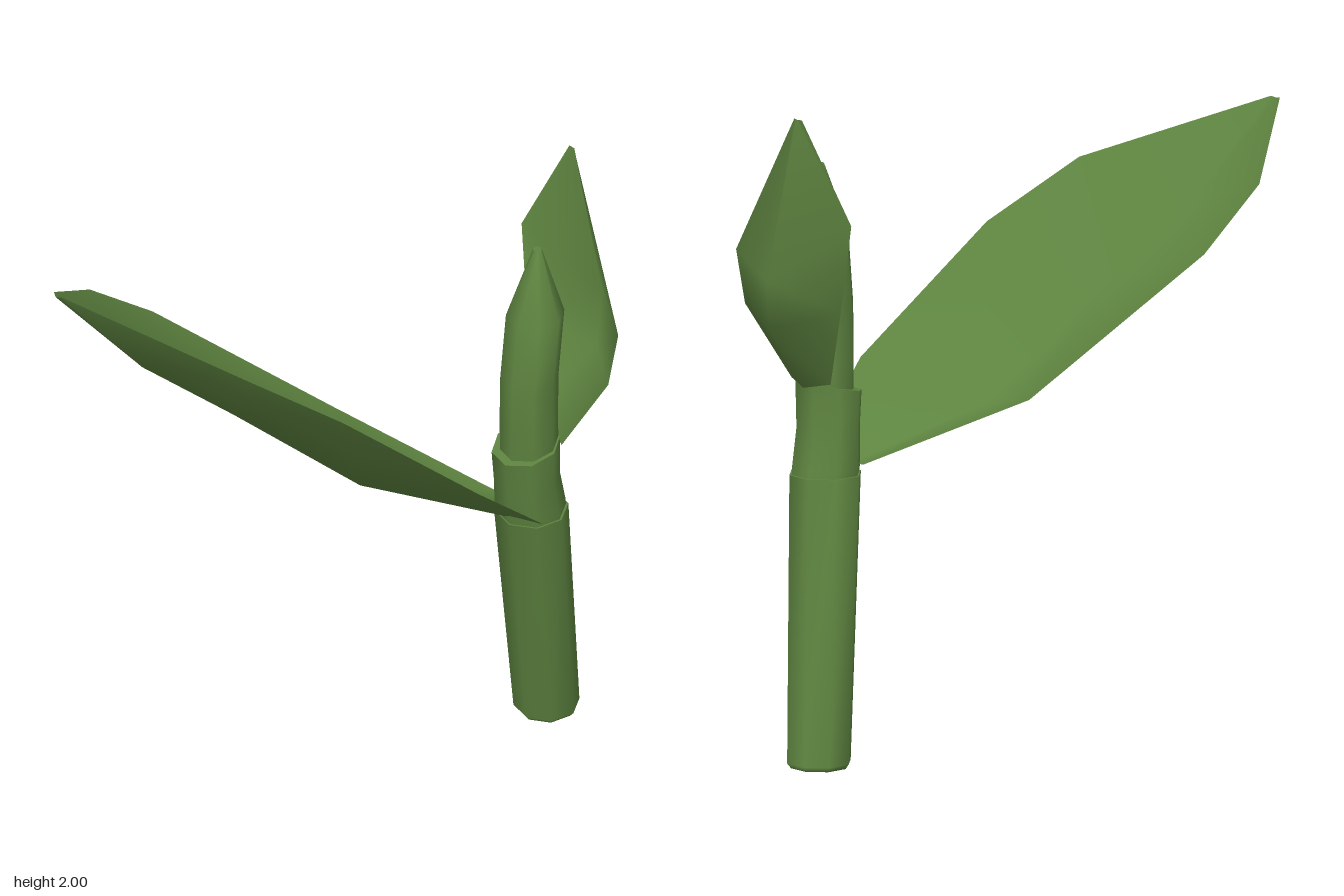
import * as THREE from 'three';

const green = new THREE.MeshStandardMaterial({ color: 0x5e8440, side: THREE.DoubleSide });
green.name = 'leafGreen';

function build(name, positions, index) {
  const geometry = new THREE.BufferGeometry();
  geometry.setAttribute('position', new THREE.Float32BufferAttribute(positions, 3));
  geometry.setIndex(index);
  geometry.computeVertexNormals();
  const mesh = new THREE.Mesh(geometry, green);
  mesh.name = name;
  return mesh;
}

// Tube through rings [x, y, z, radius, tilt]; tilt raises the +x side of a ring
function stalk(name, rings, sides = 8) {
  const positions = [], index = [];
  const addRing = ([x, y, z, r, tilt = 0]) => {
    for (let i = 0; i < sides; i++) {
      const a = ((i + 0.5) / sides) * Math.PI * 2;
      const dx = Math.cos(a) * r * 1.04;
      positions.push(x + dx, y + dx * tilt, z + Math.sin(a) * r * 1.04);
    }
  };
  rings.forEach(addRing);
  for (let k = 0; k < rings.length - 1; k++) {
    for (let i = 0; i < sides; i++) {
      const a = k * sides + i, b = k * sides + ((i + 1) % sides);
      index.push(a, a + sides, b, b, a + sides, b + sides);
    }
  }
  // End caps have their own vertices so the rims stay sharp
  [rings[0], rings[rings.length - 1]].forEach((ring, end) => {
    const start = positions.length / 3;
    addRing(ring);
    for (let i = 1; i < sides - 1; i++) {
      if (end) index.push(start, start + i + 1, start + i);
      else index.push(start, start + i, start + i + 1);
    }
  });
  return build(name, positions, index);
}

// Folded blade: each row holds its front edge, midrib and back edge
function leaf(name, rows) {
  const index = [];
  for (let k = 0; k < rows.length - 1; k++) {
    for (let j = 0; j < 2; j++) {
      const a = k * 3 + j, b = a + 3;
      index.push(a, a + 1, b, a + 1, b + 1, b);
    }
  }
  return build(name, rows.flat(2), index);
}

export function createModel() {
  const group = new THREE.Group();
  group.name = 'sprout';

  // Three stacked stalk segments
  group.add(stalk('lowerStem', [
    [0.665, 0, 0.125, 0.085],
    [0.665, 0.015, 0.126, 0.096],
    [0.54, 0.86, 0.243, 0.108],
  ]));
  group.add(stalk('middleStem', [
    [0.545, 0.82, 0.24, 0.1],
    [0.535, 0.88, 0.245, 0.103],
    [0.515, 1.0, 0.258, 0.096],
    [0.508, 1.12, 0.265, 0.1, 0.2],
  ]));
  group.add(stalk('bud', [
    [0.52, 1.07, 0.265, 0.085],
    [0.515, 1.2, 0.27, 0.085],
    [0.513, 1.37, 0.275, 0.085],
    [0.537, 1.6, 0.27, 0.085],
    [0.56, 1.81, 0.245, 0.013],
  ]));

  // Large leaf reaching out to the right
  group.add(leaf('largeLeaf', [
    [[0.51, 0.88, 0.36], [0.43, 0.875, 0.25], [0.47, 0.89, 0.15]],
    [[0.24, 1.14, 0.43], [0.04, 1.03, 0.08], [0.13, 1.1, -0.215]],
    [[-0.18, 1.51, 0.34], [-0.33, 1.36, -0.04], [-0.37, 1.51, -0.435]],
    [[-0.44, 1.69, 0.22], [-0.6, 1.59, -0.12], [-0.6, 1.69, -0.42]],
    [[-0.835, 1.89, -0.2], [-0.845, 1.885, -0.215], [-0.84, 1.89, -0.235]],
  ]));

  // Small upright leaf on the left
  group.add(leaf('smallLeaf', [
    [[0.58, 1.14, 0.35], [0.62, 1.13, 0.25], [0.59, 1.15, 0.16]],
    [[0.695, 1.37, 0.43], [0.79, 1.34, 0.21], [0.645, 1.39, 0.05]],
    [[0.73, 1.54, 0.43], [0.84, 1.5, 0.16], [0.68, 1.68, -0.04]],
    [[0.775, 2.0, 0.11], [0.785, 2.0, 0.09], [0.78, 2.0, 0.07]],
  ]));

  return group;
}
